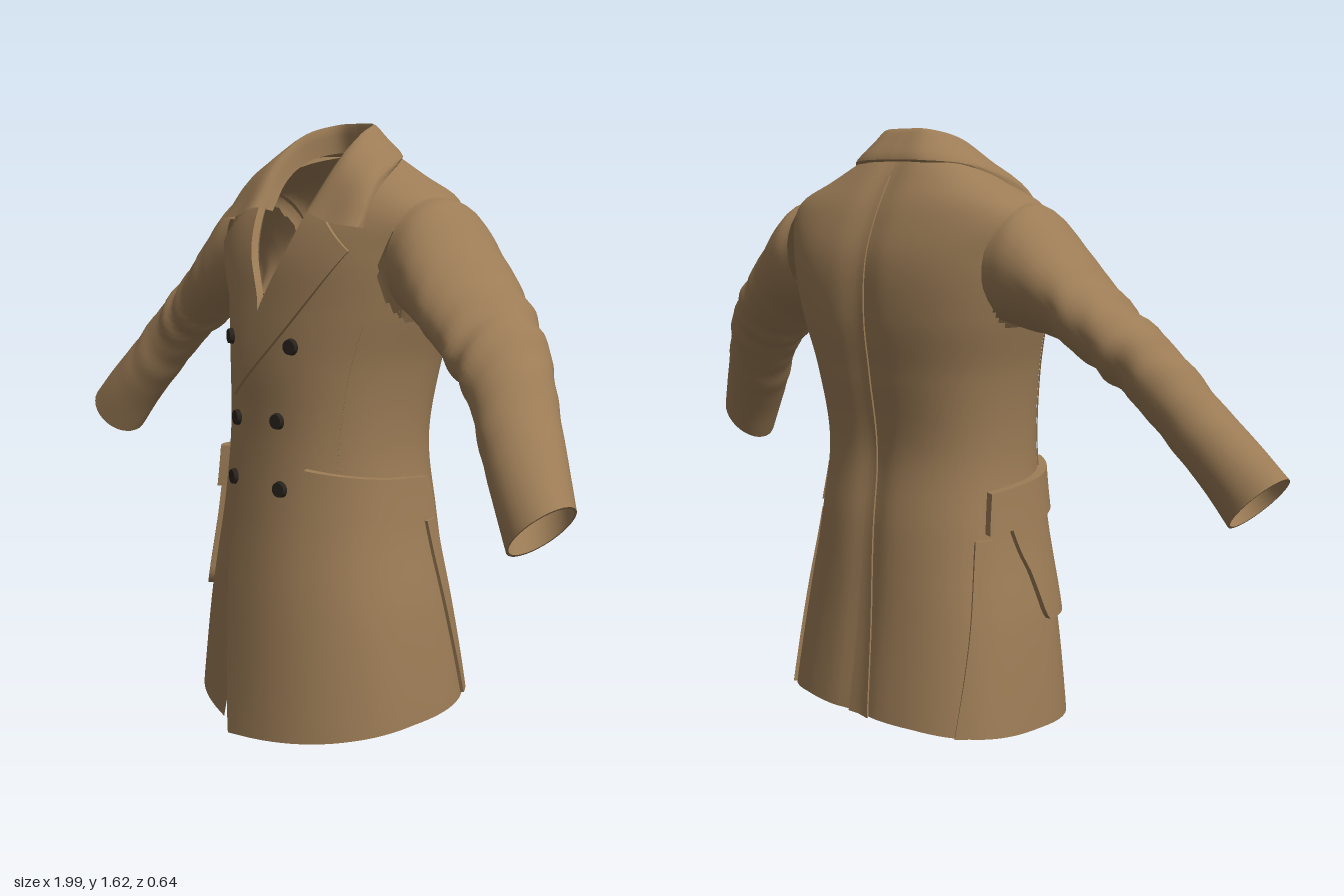
import * as THREE from 'three';
import { toCreasedNormals } from 'three/addons/utils/BufferGeometryUtils.js';

const CX = -0.015;
const cloth = new THREE.MeshStandardMaterial({ color: 0x9c7c56, side: THREE.DoubleSide });
cloth.name = 'tan wool';
const horn = new THREE.MeshStandardMaterial({ color: 0x2a231d });
horn.name = 'dark horn';

const pow = (v, e) => Math.sign(v) * Math.abs(v) ** e;
const lerp = THREE.MathUtils.lerp;

// Smooth or straight lookup in a table of [key, ...values]
function table(rows, Kind = THREE.CubicInterpolant) {
  const n = rows[0].length - 1;
  const it = new Kind(rows.map(r => r[0]), rows.flatMap(r => r.slice(1)), n, new Array(n));
  return k => [...it.evaluate(k)];
}

// Torso cross-sections: height, half width, front z, back z, roundness
const torso = table([
  [0, 0.388, 0.31, -0.33, 0.9], [0.1, 0.382, 0.3, -0.318, 0.9],
  [0.35, 0.353, 0.275, -0.287, 0.9], [0.6, 0.306, 0.245, -0.264, 0.9],
  [0.8, 0.286, 0.225, -0.241, 0.88], [1.0, 0.303, 0.215, -0.268, 0.85],
  [1.15, 0.342, 0.195, -0.289, 0.82], [1.3, 0.375, 0.165, -0.282, 0.8],
  [1.4, 0.39, 0.12, -0.247, 0.8], [1.44, 0.36, 0.09, -0.226, 0.8],
  [1.48, 0.275, 0.06, -0.2, 0.85], [1.52, 0.2, 0.03, -0.172, 0.9],
  [1.56, 0.13, 0, -0.14, 1],
]);

// Point on the torso: angle 0 is the front, +PI/2 the model's left side
function surf(phi, y, off = 0) {
  const [w, zf, zb, e] = torso(y);
  const s = Math.sin(phi), c = Math.cos(phi);
  const k = c < 0 ? e * lerp(0.77, 0.87, Math.min(1, y / 0.5)) : e; // the back is squarer
  const x = w * pow(s, k);
  let z = (zf + zb) / 2 + (zf - zb) / 2 * pow(c, k);
  if (c < 0) z += 0.014 * Math.exp(-((x / 0.05) ** 2)); // hollow along the spine
  return [CX + x + off * s, y, z + off * c];
}

// Angle on the front of the torso at a given x
function phiAt(x, y) {
  const [w, , , e] = torso(y);
  return Math.asin(THREE.MathUtils.clamp(pow((x - CX) / w, 1 / e), -1, 1));
}

// Grid surface from a rule f(u, v); closed wraps the columns, cut leaves out holes
function loft(name, us, vs, f, { closed = false, cut = () => false } = {}) {
  const pts = [], idx = [], n = us.length;
  for (const v of vs) for (const u of us) pts.push(f(u, v));
  for (let j = 0; j < vs.length - 1; j++) {
    for (let i = 0; i < (closed ? n : n - 1); i++) {
      const k = (i + 1) % n, a = j * n + i, b = j * n + k;
      for (const tri of [[a, b, a + n], [b, b + n, a + n]]) {
        if (!tri.some(t => cut(pts[t]))) idx.push(...tri);
      }
    }
  }
  const g = new THREE.BufferGeometry();
  g.setAttribute('position', new THREE.Float32BufferAttribute(pts.flat(), 3));
  g.setIndex(idx);
  const mesh = new THREE.Mesh(toCreasedNormals(g, 0.7), cloth);
  mesh.name = name;
  return mesh;
}

const steps = (n, a = 0, b = 1) => Array.from({ length: n + 1 }, (_, i) => lerp(a, b, i / n));

// Raised cloth piece laid on the torso; rule gives [angle, height], edges turn inward
function patch(name, rule, h, nu = 16, nv = 16) {
  const rim = n => [-1, ...steps(n), 2];
  return loft(name, rim(nu), rim(nv), (u, v) => {
    const edge = u < 0 || u > 1 || v < 0 || v > 1;
    const c = t => THREE.MathUtils.clamp(t, 0, 1);
    return surf(...rule(c(u), c(v)), edge ? 0.0005 : h);
  });
}

// Front edges: the left panel laps over the right one
const leftEdge = table([[0, -0.02], [0.05, -0.03], [0.6, -0.1], [0.9, -0.11], [1.14, -0.015],
  [1.3, 0.06], [1.43, 0.105], [1.56, 0.11]], THREE.LinearInterpolant);
const rightEdge = table([[0, -0.07], [0.12, -0.05], [0.22, 0], [0.9, 0], [1.14, -0.015],
  [1.3, -0.08], [1.43, -0.125], [1.56, -0.135]], THREE.LinearInterpolant);

// Armholes open into the sleeves
const armhole = ([x, y, z]) =>
  Math.abs(x) > 0.25 && ((z + 0.05) / 0.125) ** 2 + ((y - 1.265) / 0.135) ** 2 < 1;

function bodyPanel(name, side) {
  const us = [-0.01, ...steps(80)];
  return loft(name, us, steps(110), (u, v) => {
    const q = Math.max(u, 0);
    const hem = (side > 0 ? 0.002 : 0.03) + (side > 0 ? 0.106 : 0.078) * Math.min(1, q * 1.15) ** 0.75;
    const y = lerp(hem, 1.56, v);
    const start = phiAt((side > 0 ? leftEdge : rightEdge)(y)[0], y);
    const lap = side > 0 && u >= 0 ? 0.013 * Math.max(0, 1 - q * 3) : 0;
    return surf(lerp(start, side * Math.PI, q), y, lap);
  }, { cut: armhole });
}

function lapel(name, side, foot) {
  const line = pts => new THREE.CatmullRomCurve3(pts.map(p => new THREE.Vector3(p[0], p[1], 0)));
  const fold = line([[foot[0], foot[1]], [-0.015, 1.14], [side * 0.075 - 0.01, 1.3], [side * 0.115 - 0.01, 1.43]]);
  const outer = line([[foot[0] + side * 0.01, foot[1]], [side * 0.075 - 0.01, 1.07],
    [side * 0.175 - 0.01, 1.19], [side * 0.265 - 0.015, 1.305]]);
  return patch(name, (u, v) => {
    const p = fold.getPoint(v).lerp(outer.getPoint(v), u);
    return [phiAt(p.x, p.y), p.y];
  }, 0.021, 12, 30);
}

// Collar: stand, fold and fall follow curves from the nape to the front corner
function collar() {
  const curve = pts => new THREE.CatmullRomCurve3(pts.map(p => new THREE.Vector3(...p)));
  const lines = [
    curve([[0, 1.54, -0.12], [0.07, 1.54, -0.1], [0.11, 1.52, -0.03], [0.115, 1.47, 0.04], [0.1, 1.39, 0.1]]),
    curve([[0, 1.618, -0.112], [0.075, 1.615, -0.1], [0.12, 1.59, -0.025], [0.13, 1.525, 0.055], [0.117, 1.4, 0.147]]),
    curve([[0, 1.585, -0.143], [0.09, 1.585, -0.13], [0.155, 1.565, -0.05], [0.19, 1.505, 0.065], [0.2, 1.375, 0.148]]),
    curve([[0, 1.54, -0.172], [0.11, 1.537, -0.162], [0.205, 1.525, -0.085], [0.265, 1.472, 0.045], [0.295, 1.365, 0.128]]),
    curve([[0, 1.535, -0.16], [0.11, 1.53, -0.15], [0.2, 1.505, -0.075], [0.26, 1.45, 0.015], [0.285, 1.36, 0.09]]),
  ];
  return loft('collar', steps(48, -1, 1), steps(16), (u, v) => {
    const across = new THREE.CatmullRomCurve3(lines.map(l => l.getPoint(Math.abs(u))));
    const p = across.getPoint(v);
    return [CX + 0.005 + Math.sign(u) * p.x, p.y, p.z];
  });
}

// Sleeve rings: top x, y, bottom x, y, centre z, half depth, forward lean of the underside
function sleeve(name, side) {
  const ring = table([
    [0, 0.37, 1.435, 0.335, 1.14, -0.055, 0.145, 0], [0.08, 0.415, 1.425, 0.39, 1.125, -0.05, 0.15, 0.01],
    [0.25, 0.52, 1.32, 0.48, 1.1, -0.032, 0.142, 0.03], [0.4, 0.62, 1.225, 0.57, 1.04, -0.02, 0.128, 0.035],
    [0.58, 0.75, 1.115, 0.665, 0.96, 0.013, 0.108, 0.03], [0.74, 0.85, 0.985, 0.75, 0.85, 0.062, 0.1, 0.02],
    [0.88, 0.93, 0.89, 0.82, 0.755, 0.1, 0.093, 0.01], [1, 0.995, 0.81, 0.87, 0.675, 0.127, 0.085, 0],
  ]);
  const us = steps(32).slice(0, -1);
  return loft(name, us, [...steps(56), 1.02], (u, v) => {
    const [tx, ty, bx, by, zc, zr, lean] = ring(Math.min(v, 1));
    const a = u * 2 * Math.PI;
    const folds = Math.exp(-(((v - 0.5) / 0.2) ** 2))
      * (0.035 * Math.sin(v * 47 + 2.6 * Math.sin(a + 0.7)) + 0.025 * Math.sin(v * 71 - 2 * a));
    const k = (1 + folds) * (v > 1 ? 0.93 : 1);
    const c = Math.cos(a) * k / 2;
    return [side * ((tx + bx) / 2 + c * (tx - bx)), (ty + by) / 2 + c * (ty - by),
      zc + Math.sin(a) * zr * k - Math.cos(a) * lean];
  }, { closed: true });
}

export function createModel() {
  const coat = new THREE.Group();
  coat.name = 'coat';
  coat.add(bodyPanel('leftBody', 1), bodyPanel('rightBody', -1), collar());
  coat.add(lapel('rightLapel', -1, [-0.05, 1.0]), lapel('leftLapel', 1, [-0.11, 0.91]));

  for (const [label, side] of [['left', 1], ['right', -1]]) {
    coat.add(sleeve(label + 'Sleeve', side));

    // Patch pocket with rounded lower corners, and its flap
    coat.add(patch(label + 'Pocket', (u, v) => {
      const corner = Math.max(0, Math.abs(u - 0.5) * 2 - 0.75) / 0.25;
      const low = lerp(0.345, 0.355, u) + 0.035 * corner ** 2.5;
      return [side * lerp(lerp(0.62, 1.46, u), lerp(0.7, 1.72, u), v), lerp(low, 0.67, v)];
    }, 0.015, 24, 16));
    coat.add(patch(label + 'PocketFlap', (u, v) => [
      side * lerp(lerp(0.64, 1.94, u), lerp(0.62, 1.9, u), v),
      lerp(lerp(0.635, 0.605, u), lerp(0.75, 0.71, u), v),
    ], 0.026, 24, 8));

    // Side vent strip from waist to hem, and the front dart
    coat.add(patch(label + 'SideVent', (u, v) => [
      side * (lerp(2.15, 1.87, v) + u * 0.2), lerp(0.1, 0.59, v),
    ], 0.01, 4, 16));
    coat.add(patch(label + 'FrontDart', (u, v) => [
      side * (lerp(0.95, 1.02, v) + u * 0.025), lerp(0.74, 1.12, v),
    ], 0.004, 2, 14));
  }

  // Lapped back seam running into the centre vent
  coat.add(patch('backSeam', (u, v) => [
    Math.PI - 0.02 + u * lerp(0.08, 0.03, Math.min(1, v * 2)), lerp(0.105, 1.5, v),
  ], 0.006, 3, 40));

  // Two columns of buttons, facing out from the cloth
  const spots = [[-0.15, 1.06], [0.115, 1.06], [-0.09, 0.85], [0.08, 0.865], [-0.09, 0.69], [0.1, 0.69]];
  const disc = new THREE.CylinderGeometry(0.019, 0.022, 0.012, 20).rotateX(Math.PI / 2);
  for (const [x, y] of spots) {
    const phi = phiAt(x, y);
    const button = new THREE.Mesh(disc, horn);
    button.name = 'button';
    button.position.set(...surf(phi, y, 0.016));
    button.rotation.y = phi * 0.8;
    coat.add(button);
  }
  return coat;
}
